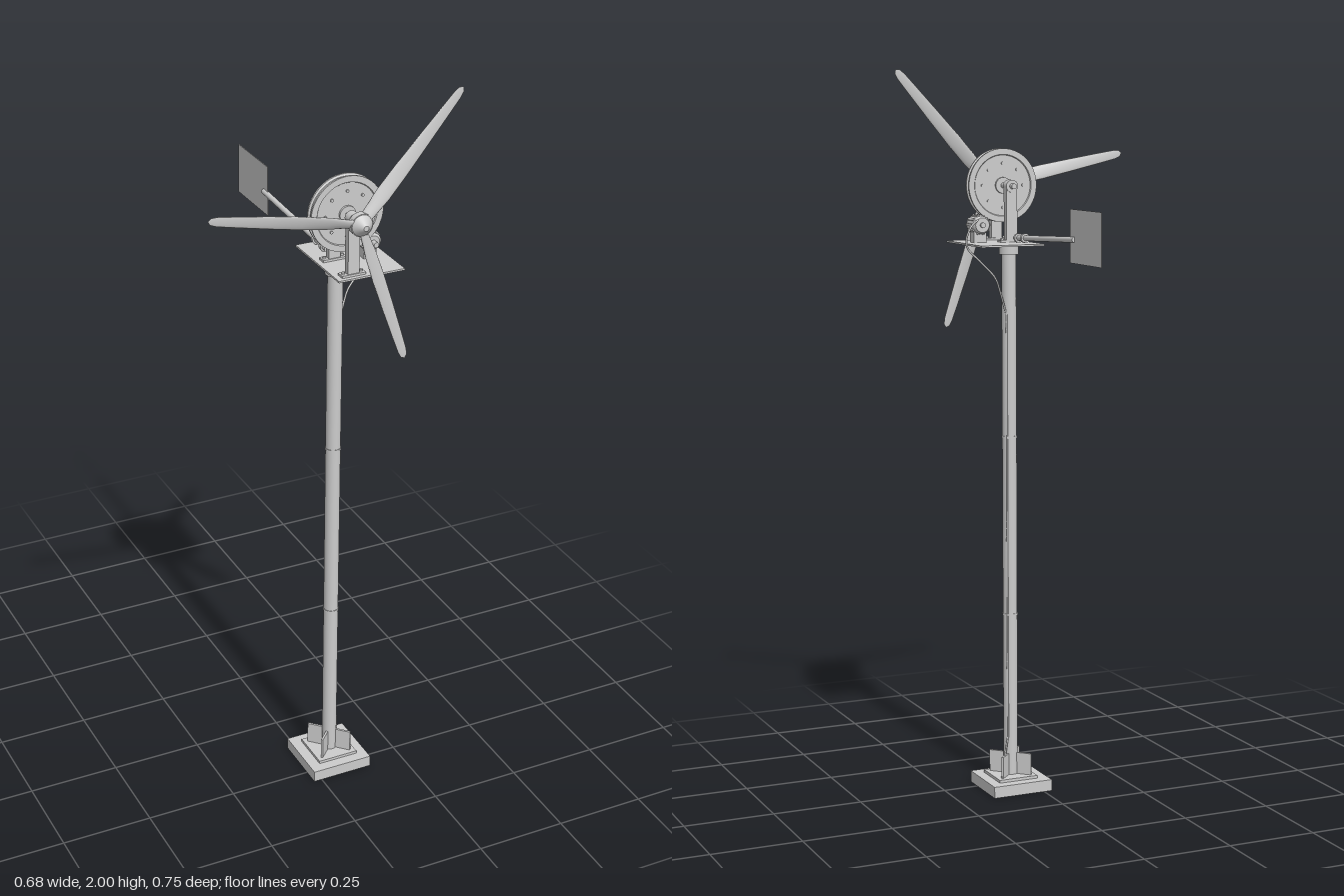
import * as THREE from 'three';

export function createModel() {
  const root = new THREE.Group();
  root.name = 'windTurbine';
  const mat = new THREE.MeshStandardMaterial({ color: 0xcccccc });
  const X = 0.065, Z = 0.21, AXLE = 1.688, DECK = 1.537;

  const add = (name, geo, x = 0, y = 0, z = 0, parent = root) => {
    const m = new THREE.Mesh(geo, mat);
    m.name = name;
    m.position.set(x, y, z);
    parent.add(m);
    return m;
  };
  const box = (name, w, h, d, x, y, z, parent) => add(name, new THREE.BoxGeometry(w, h, d), x, y, z, parent);
  const rod = (name, r, h, x, y, z, parent) => add(name, new THREE.CylinderGeometry(r, r, h, 32), x, y, z, parent);
  // Cylinder lying along z, between z0 and z1
  const axle = (name, r0, r1, z0, z1, x, y, parent) =>
    add(name, new THREE.CylinderGeometry(r1, r0, z1 - z0, 32).rotateX(Math.PI / 2), x, y, (z0 + z1) / 2, parent);
  const cable = (name, pts) => add(name, new THREE.TubeGeometry(
    new THREE.CatmullRomCurve3(pts.map(p => new THREE.Vector3(...p))), 60, 0.0028, 8));

  // Stepped foundation with diagonal gussets
  box('baseSlab', 0.174, 0.032, 0.174, X - 0.001, 0.016, Z);
  box('basePlate', 0.115, 0.008, 0.115, X, 0.036, Z);
  for (const s of [1, -1]) box('gusset', 0.125, 0.062, 0.006, X, 0.07, Z).rotation.y = s * Math.PI / 4;

  // Mast in three lengths with joint rings and top collar
  rod('mast', 0.02, 1.5, X, 0.78, Z);
  for (const y of [0.5, 1.0]) rod('mastJoint', 0.0215, 0.006, X, y, Z);
  rod('mastCollar', 0.027, 0.032, X, 1.519, Z);

  // Deck that carries the machinery
  box('deck', 0.184, 0.005, 0.247, 0.109, DECK - 0.0025, 0.202);

  // Two bearing stands
  for (const z of [0.197, 0.302]) {
    const stand = new THREE.Group();
    stand.name = 'bearingStand';
    stand.position.set(X, 0, z);
    root.add(stand);
    box('standFoot', 0.066, 0.006, 0.024, 0, DECK + 0.003, 0, stand);
    box('standPost', 0.032, AXLE - DECK, 0.018, 0, (AXLE + DECK) / 2, 0, stand);
    axle('bearing', 0.017, 0.017, -0.012, 0.012, 0, AXLE, stand);
    for (const s of [-1, 1]) rod('footBolt', 0.004, 0.006, s * 0.025, DECK + 0.008, 0, stand);
  }
  axle('mainShaft', 0.0075, 0.0075, 0.17, 0.35, X, AXLE);

  // Grooved drive wheel
  const rim = [[0, -0.009], [0.082, -0.009], [0.084, -0.012], [0.1, -0.012], [0.1, -0.007], [0.095, -0.004],
    [0.095, 0.004], [0.1, 0.007], [0.1, 0.012], [0.084, 0.012], [0.082, 0.009], [0, 0.009]];
  const wheel = new THREE.LatheGeometry(rim.map(p => new THREE.Vector2(...p)), 64).rotateX(Math.PI / 2).toNonIndexed();
  wheel.computeVertexNormals();
  add('driveWheel', wheel, X, AXLE, 0.26);
  axle('wheelHub', 0.022, 0.022, 0.245, 0.275, X, AXLE);
  for (let i = 0; i < 8; i++) {
    const a = i * Math.PI / 4;
    axle('wheelBolt', 0.004, 0.004, 0.248, 0.272, X + 0.06 * Math.cos(a), AXLE + 0.06 * Math.sin(a));
  }

  // Generator with ribs, shaft and mount
  const gx = 0.152, gy = 1.585;
  axle('generatorBody', 0.024, 0.024, 0.192, 0.242, gx, gy);
  axle('generatorRearCap', 0.02, 0.024, 0.186, 0.192, gx, gy);
  axle('generatorFrontCap', 0.024, 0.018, 0.242, 0.247, gx, gy);
  axle('generatorShaft', 0.007, 0.007, 0.24, 0.265, gx, gy);
  axle('generatorRearBoss', 0.007, 0.007, 0.18, 0.188, gx, gy);
  for (let i = 0; i < 10; i++) {
    const a = i * Math.PI / 5;
    box('generatorRib', 0.006, 0.007, 0.04, gx + 0.0245 * Math.cos(a), gy + 0.0245 * Math.sin(a), 0.217).rotation.z = a;
  }
  box('generatorMount', 0.036, 0.03, 0.03, gx, DECK + 0.015, 0.217);

  // Power cable down the mast and out at the foot
  cable('powerCable', [[0.165, 1.6, 0.184], [0.185, 1.585, 0.18], [0.203, 1.55, 0.176], [0.2, 1.525, 0.176],
    [0.16, 1.485, 0.178], [0.115, 1.44, 0.186], [0.098, 1.4, 0.192], [0.078, 1.34, 0.2]]);
  cable('mastCable', [[0.078, 1.34, 0.196], [0.079, 0.75, 0.196], [0.079, 0.15, 0.196]]);
  cable('footCable', [[0.079, 0.15, 0.196], [0.088, 0.115, 0.19], [0.1, 0.08, 0.175], [0.11, 0.042, 0.168]]);

  // Tail boom, clamps and vane
  const tail = new THREE.Group();
  tail.name = 'tail';
  tail.position.set(X, 1.55, 0.162);
  tail.rotation.x = 0.045;
  root.add(tail);
  axle('tailBoom', 0.0075, 0.0075, -0.377, 0, 0, 0, tail);
  for (const z of [-0.018, -0.062]) axle('boomClamp', 0.0125, 0.0125, z - 0.005, z + 0.005, 0, 0, tail);
  box('tailVane', 0.002, 0.138, 0.185, X, 1.575, -0.2815);

  // Rotor: hub, nose cone and three twisted, tapered blades
  const rotor = new THREE.Group();
  rotor.name = 'rotor';
  rotor.position.set(X, AXLE, 0.343);
  root.add(rotor);
  axle('rotorHub', 0.03, 0.03, -0.009, 0.009, 0, 0, rotor);
  axle('noseCone', 0.028, 0.007, 0.009, 0.031, 0, 0, rotor);
  const blade = bladeGeometry();
  for (let i = 0; i < 3; i++)
    add('blade', blade, 0, 0, 0, rotor).rotation.z = THREE.MathUtils.degToRad(48.7 - 90 + i * 120);

  return root;
}

// Blade along +y lofted from lens-shaped sections
function bladeGeometry() {
  // radius, chord, thickness, twist
  const sections = [[0.01, 0.028, 0.014, 0.6], [0.04, 0.032, 0.013, 0.58], [0.09, 0.04, 0.01, 0.42],
    [0.16, 0.04, 0.008, 0.28], [0.25, 0.035, 0.006, 0.18], [0.34, 0.029, 0.004, 0.1],
    [0.39, 0.025, 0.003, 0.06], [0.407, 0.018, 0.002, 0.05], [0.414, 0.0005, 0.0005, 0.05]];
  const N = 16, pos = [], idx = [];
  sections.forEach(([r, chord, thick, twist], i) => {
    for (let j = 0; j < N; j++) {
      const a = j / N * Math.PI * 2;
      const u = Math.cos(a) * chord / 2, v = Math.sin(a) * thick / 2;
      pos.push(u * Math.cos(twist) - v * Math.sin(twist), r, u * Math.sin(twist) + v * Math.cos(twist));
      if (i === sections.length - 1) continue;
      const p = i * N + j, q = i * N + (j + 1) % N;
      idx.push(p, p + N, q, q, p + N, q + N);
    }
  });
  const g = new THREE.BufferGeometry();
  g.setAttribute('position', new THREE.Float32BufferAttribute(pos, 3));
  g.setIndex(idx);
  g.computeVertexNormals();
  return g;
}
